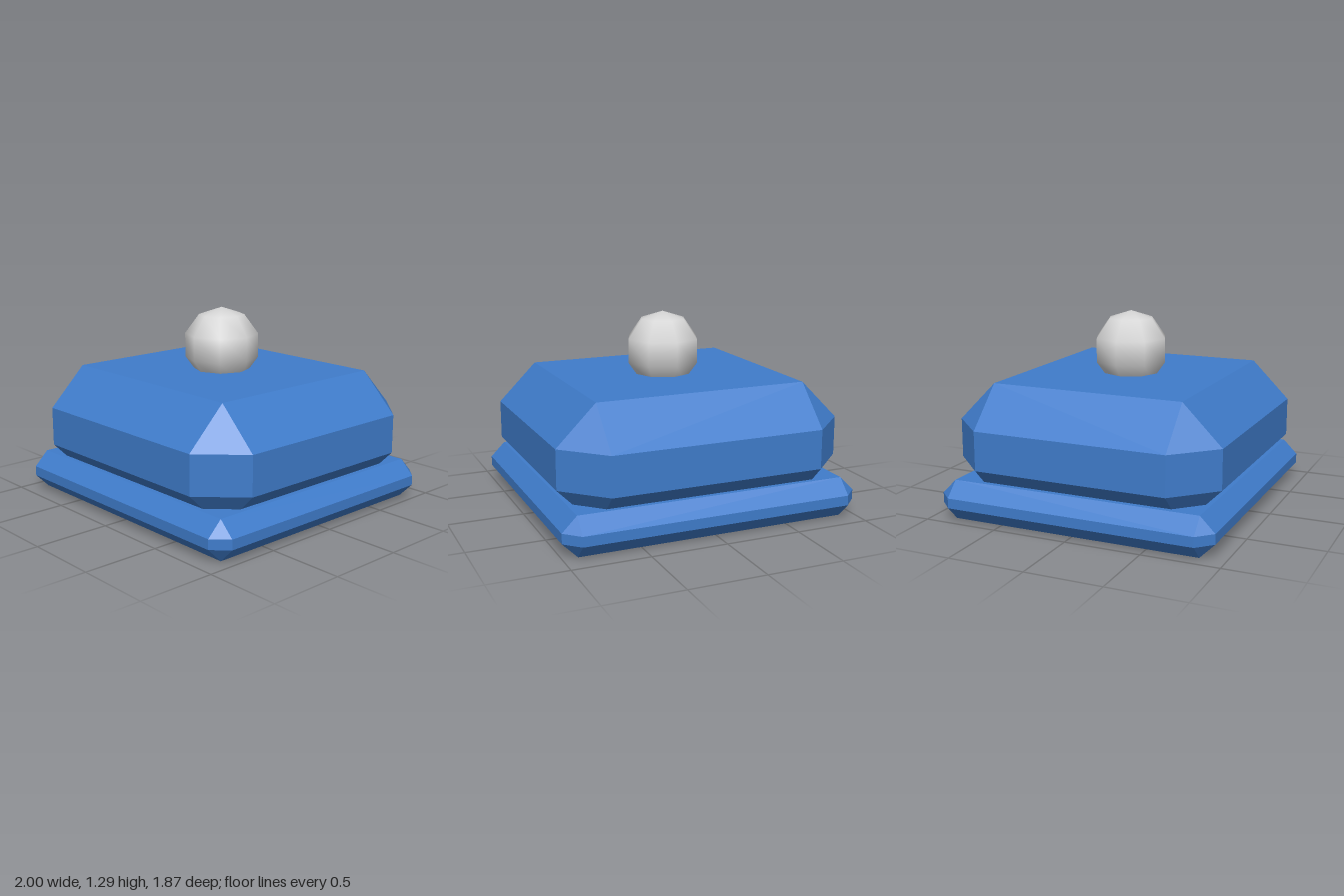
import * as THREE from 'three';
import { ConvexGeometry } from 'three/addons/geometries/ConvexGeometry.js';

// Box with every edge cut at 45 degrees; sizes are half extents, c is the cut
function chamferedBox(hx, hy, hz, c) {
  const points = [];
  for (const sx of [-1, 1]) for (const sy of [-1, 1]) for (const sz of [-1, 1]) {
    for (const [a, b, d] of [[0, c, c], [c, 0, c], [c, c, 0]]) {
      points.push(new THREE.Vector3(sx * (hx - a), sy * (hy - b), sz * (hz - d)));
    }
  }
  return new ConvexGeometry(points);
}

export function createModel() {
  const group = new THREE.Group();
  group.name = 'cushionWithBall';

  const blue = new THREE.MeshStandardMaterial({ color: 0x3f7ccb });
  blue.name = 'blue';
  const lightGrey = new THREE.MeshStandardMaterial({ color: 0xd6d6d6 });
  lightGrey.name = 'lightGrey';

  const add = (name, geometry, material, y) => {
    const mesh = new THREE.Mesh(geometry, material);
    mesh.name = name;
    mesh.position.y = y;
    group.add(mesh);
  };

  // Thin wide base slab
  add('base', chamferedBox(1, 0.13, 0.933, 0.097), blue, 0.13);
  // Thick body, its lower cut sinking into the base
  add('body', chamferedBox(0.966, 0.387, 0.902, 0.258), blue, 0.488);
  // Smooth-shaded ball sitting in the top
  add('ball', new THREE.SphereGeometry(0.258, 8, 5), lightGrey, 1.033);

  return group;
}
